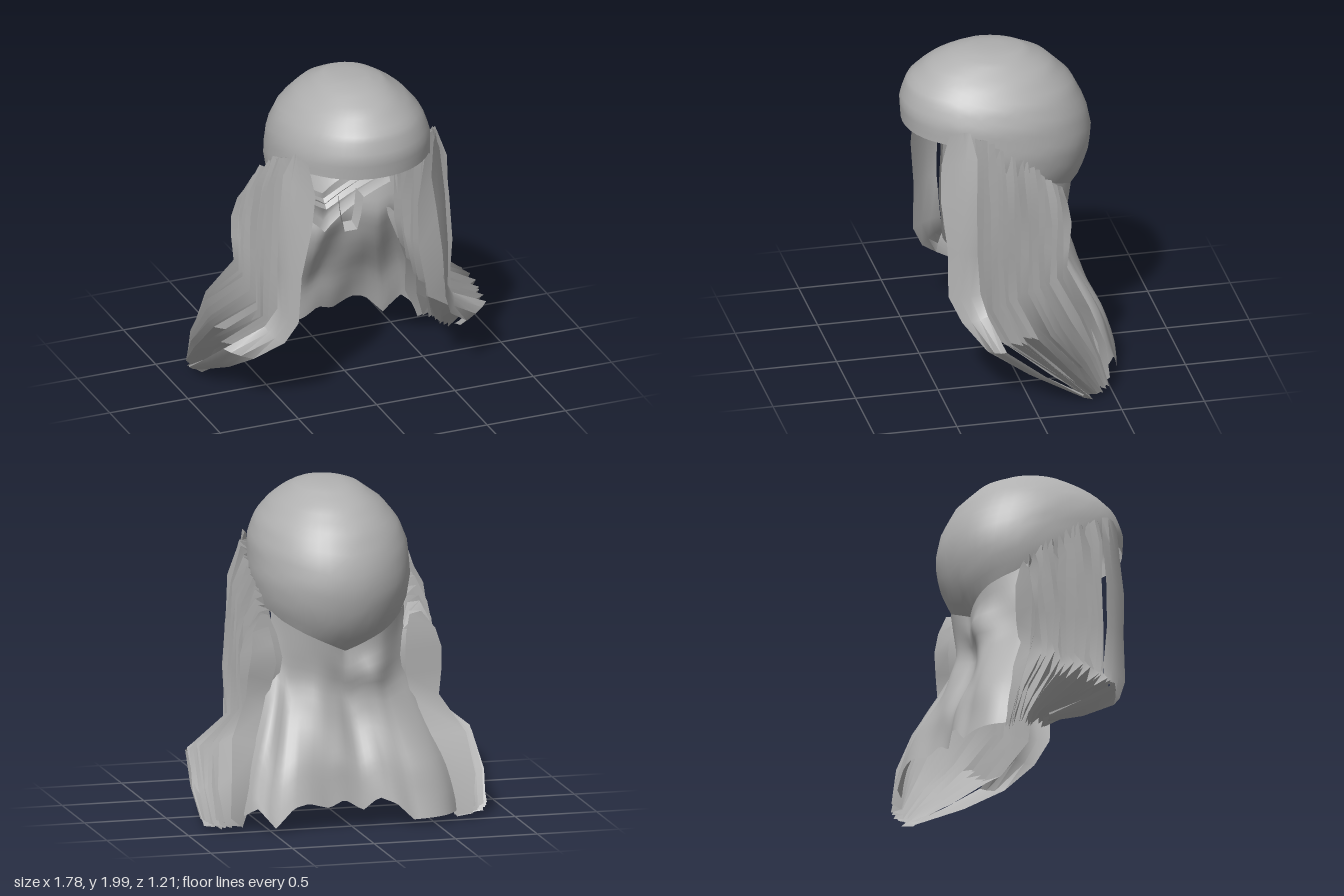
import * as THREE from 'three';
import { mergeVertices, toCreasedNormals } from 'three/addons/utils/BufferGeometryUtils.js';

const grey = new THREE.MeshStandardMaterial({ color: 0xb0b0b0, side: THREE.DoubleSide });
grey.name = 'grey';

let seed = 7;
const rnd = () => ((seed = (seed * 16807) % 2147483647) / 2147483647) * 2 - 1;
const { lerp, smoothstep } = THREE.MathUtils;

// Piecewise-linear lookup through [key, value] pairs with rising keys
function look(table, k) {
  for (let i = 1; i < table.length; i++) {
    const [a, b] = [table[i - 1], table[i]];
    if (k <= b[0]) return lerp(a[1], b[1], Math.max(0, (k - a[0]) / (b[0] - a[0])));
  }
  return table[table.length - 1][1];
}

// Sheet from a grid of points: f(column, row) -> [x, y, z]
function sheet(name, cols, rows, f, crease) {
  const pos = [], idx = [];
  for (let r = 0; r <= rows; r++) for (let c = 0; c <= cols; c++) pos.push(...f(c, r));
  for (let r = 0; r < rows; r++) {
    for (let c = 0; c < cols; c++) {
      const a = r * (cols + 1) + c, b = a + cols + 1;
      idx.push(a, b, a + 1, a + 1, b, b + 1);
    }
  }
  let g = new THREE.BufferGeometry();
  g.setAttribute('position', new THREE.Float32BufferAttribute(pos, 3));
  g.setIndex(idx);
  g = mergeVertices(g, 1e-4);
  if (crease) g = toCreasedNormals(g, crease);
  else g.computeVertexNormals();
  const m = new THREE.Mesh(g, grey);
  m.name = name;
  return m;
}

// Cap outline by height: front z, back z, half width
const capFront = [[1, 0.5], [1.4, 0.58], [1.54, 0.6], [1.68, 0.61], [1.8, 0.57], [1.92, 0.44], [1.98, 0.3], [1.996, 0.22], [2, 0.13]];
const capBack = [[1.02, -0.34], [1.15, -0.45], [1.3, -0.51], [1.45, -0.53], [1.6, -0.5], [1.76, -0.42], [1.9, -0.28], [1.98, -0.12], [1.996, 0.02], [2, 0.13]];
const capWidth = [[1.02, 0.32], [1.15, 0.39], [1.3, 0.45], [1.45, 0.475], [1.64, 0.465], [1.76, 0.42], [1.87, 0.33], [1.97, 0.19], [1.996, 0.09], [2, 0]];
// Height of the cap's lower rim by angle from the front
const capRim = [[0, 1.55], [52, 1.55], [75, 1.42], [122, 1.2], [180, 1.02]];
const rimY = (deg) => look(capRim, deg > 180 ? 360 - deg : deg);

function capPoint(deg, y) {
  const a = deg * Math.PI / 180;
  const round = (v) => Math.sign(v) * Math.abs(v) ** 0.95;
  const f = look(capFront, y), b = look(capBack, y);
  return [look(capWidth, y) * round(Math.sin(a)), y, (f + b) / 2 + (f - b) / 2 * round(Math.cos(a))];
}

function cap() {
  const n = 48, rows = 18;
  return sheet('cap', n, rows, (c, r) => {
    const deg = c / n * 360;
    return capPoint(deg, 2 - (2 - rimY(deg)) * (r / rows) ** 1.7);
  });
}

// Pleated side hanging: radial folds bending out and back at the bottom
const pleat = {
  yFront: [1.6, 1.4, 1.15, 0.85, 0.52, 0.38, 0.18, 0.03],
  yBack: [1.22, 1.12, 1.0, 0.88, 0.73, 0.52, 0.27, 0.05],
  zFront: [0.26, 0.27, 0.27, 0.27, 0.25, 0.18, -0.09, -0.3],
  zBack: [-0.26, -0.28, -0.29, -0.28, -0.27, -0.37, -0.45, -0.48],
  inner: [0.42, 0.38, 0.36, 0.37, 0.42, 0.63, 0.67, 0.76],
  outer: [0.5, 0.58, 0.61, 0.62, 0.61, 0.86, 0.89, 0.87],
};
function pleats(side) {
  const cols = 30, rows = pleat.yFront.length - 1;
  const fold = Array.from({ length: cols + 1 }, () => [rnd(), rnd(), rnd()]);
  return sheet('pleatedHanging', cols, rows, (c, r) => {
    const u = c / cols, [j, k, l] = fold[c], out = c % 2;
    const t = out ? 0.9 + 0.1 * j : 0.16 + 0.16 * j;
    const back = r >= 5 ? 0.13 * u ** 3 : 0;
    const x = lerp(pleat.inner[r], pleat.outer[r], t) - back;
    const y = lerp(pleat.yFront[r], pleat.yBack[r], u ** 1.25) + 0.02 * k + (out ? 0.02 : -0.01);
    // each ridge leans back over the next fold
    const z = lerp(pleat.zFront[r], pleat.zBack[r], u) + 0.008 * l + (out ? -0.014 : 0.01);
    const sway = 0.008 * Math.sin(r * 1.7 + 6 * j);
    return [side * (x + sway), Math.max(0.01, y + rnd() * 0.012), z + sway];
  }, 0.6);
}

// Broad flat strand at the front of each side
const strandFront = [[0.4, 1.62, 0.41], [0.37, 1.42, 0.45], [0.4, 1.2, 0.46], [0.45, 0.9, 0.43], [0.47, 0.6, 0.43], [0.53, 0.45, 0.36], [0.68, 0.32, 0.24], [0.74, 0.17, 0], [0.82, 0.04, -0.28]];
const strandBack = [[0.44, 1.65, 0.29], [0.5, 1.5, 0.26], [0.53, 1.2, 0.27], [0.54, 0.9, 0.27], [0.53, 0.63, 0.25], [0.6, 0.51, 0.22], [0.84, 0.38, 0.16], [0.87, 0.21, -0.07], [0.87, 0.07, -0.3]];
function frontStrand(side) {
  return sheet('frontStrand', 3, 8, (c, r) => {
    const t = c / 3, a = strandFront[r], b = strandBack[r];
    const bow = 0.02 * Math.sin(t * Math.PI);
    return [side * (lerp(a[0], b[0], t) + bow), lerp(a[1], b[1], t) + (r ? 0 : bow), lerp(a[2], b[2], t)];
  }, 0.7);
}

// Draped neck cloth, hung from the cap's rear rim, with a ragged hem
const hem = [[-0.64, 0.06], [-0.35, 0.05], [-0.25, 0.15], [-0.15, 0.19], [-0.06, 0.11], [0.05, 0.18], [0.15, 0.14], [0.28, 0.18], [0.37, 0.16], [0.48, 0.04], [0.58, 0.16], [0.64, 0.1]];
const drapeZ = [[0, -0.33], [0.12, -0.37], [0.3, -0.36], [0.5, -0.43], [0.75, -0.54], [1, -0.6]];
function neckCloth() {
  const cols = 40, rows = 18;
  return sheet('neckCloth', cols, rows, (c, r) => {
    const s = c / cols * 2 - 1, v = r / rows, deg = 180 - 68 * s;
    const top = capPoint(deg, rimY(deg) + 0.02);
    const x = s * lerp(0.42, 0.65, smoothstep(v, 0.2, 1));
    const y = lerp(top[1], look(hem, s * 0.64), v);
    const wrap = lerp(0.18 * s * s, 0.13 * s ** 8, v);
    const fold = 0.02 * Math.sin(8 * s + 6 * v) * Math.sin(Math.PI * v);
    const bump = 0.07 * Math.exp(-(((x + 0.17) / 0.12) ** 2) - ((y - 0.93) / 0.13) ** 2);
    const dip = 0.07 * v * Math.exp(-((s / 0.3) ** 2));
    const z = look(drapeZ, v) + wrap + fold - bump + dip;
    const free = smoothstep(v, 0, 0.25);
    return [lerp(top[0], x, free), y, lerp(top[2], z, free)];
  });
}

// Turned-in collar below the cap's rear rim
function collar() {
  return sheet('collar', 20, 3, (c, r) => {
    const s = c / 10 - 1, v = r / 3, k = Math.abs(s);
    return [0.37 * s, lerp(0.97 + 0.25 * k, 0.78 + 0.32 * k ** 0.9, v), -0.3 + 0.12 * k * k - 0.04 * Math.sin(v * 3)];
  });
}

// Narrow band along the rear rim
function rimBand() {
  return sheet('rimBand', 16, 1, (c, r) => {
    const s = c / 8 - 1, k = Math.abs(s);
    return [0.37 * s, 0.94 + 0.26 * k ** 1.1 + (r ? 0.05 : 0), -0.28 + 0.14 * k * k + (r ? -0.05 : 0)];
  }, 0.5);
}

// Small U-shaped loop
const loopPath = [[-0.08, 1.22], [-0.065, 1.1], [-0.04, 1.01], [0.04, 1.01], [0.065, 1.1], [0.08, 1.22]];
function loop() {
  return sheet('loop', 5, 1, (c, r) => {
    const [x, y] = loopPath[c];
    return [x * (r ? 0.7 : 1), y - (r ? 0 : 0.035), 0.1 - r * 0.06];
  }, 0.5);
}

export function createModel() {
  const g = new THREE.Group();
  g.name = 'headCovering';
  g.add(cap(), neckCloth(), collar(), rimBand(), loop());
  for (const side of [1, -1]) {
    const hanging = new THREE.Group();
    hanging.name = side > 0 ? 'leftHanging' : 'rightHanging';
    hanging.add(pleats(side), frontStrand(side));
    g.add(hanging);
  }
  return g;
}
